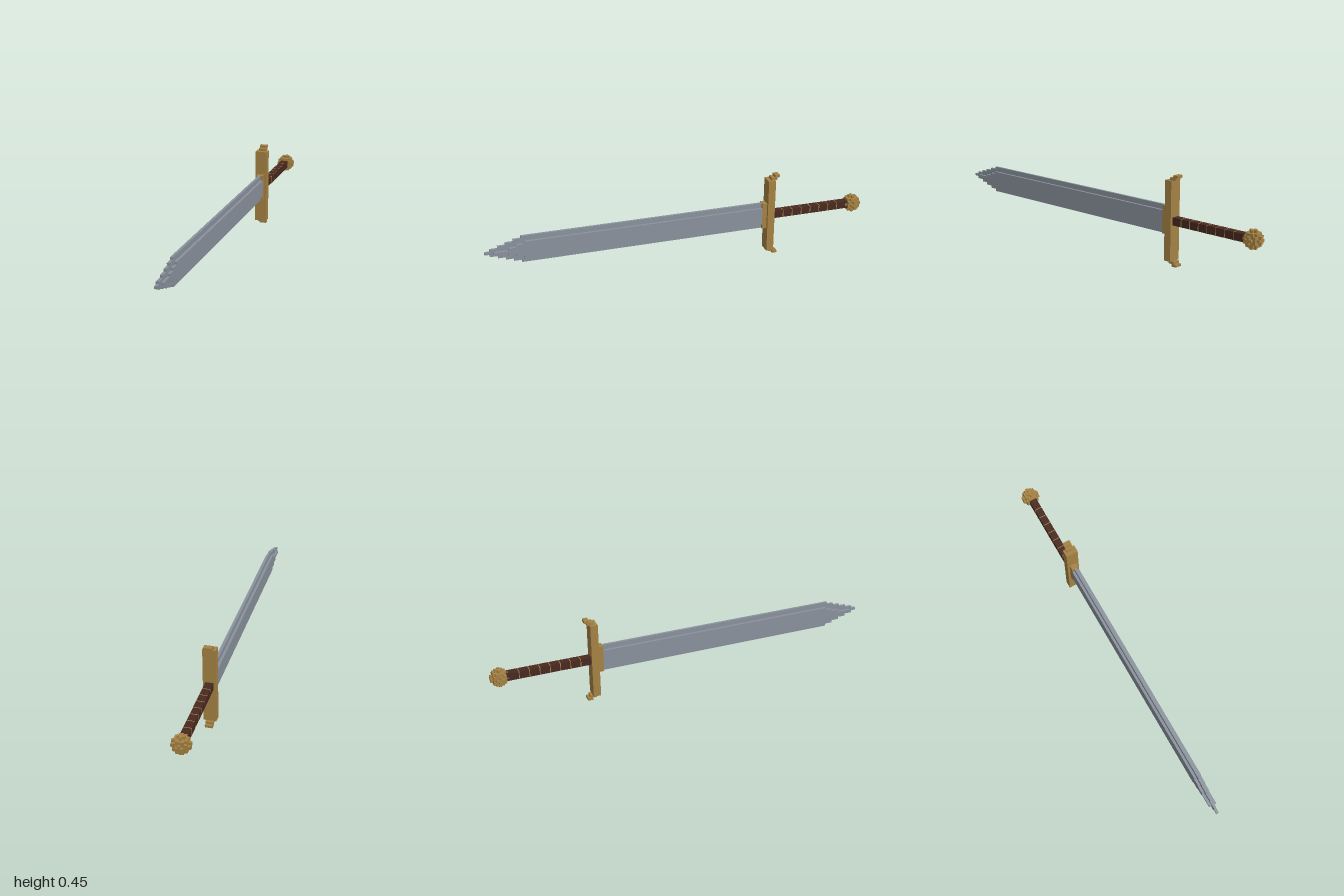
import * as THREE from 'three';

const U = 2 / 156;        // one block
const MID = 17.5 * U;     // height of the sword's axis

const mat = (name, color) => {
  const m = new THREE.MeshStandardMaterial({ color });
  m.name = name;
  return m;
};

export function createModel() {
  const steel = mat('steel', 0x8a929d);
  const gold = mat('gold', 0xa58243);
  const leather = mat('leather', 0x48291f);
  const root = new THREE.Group();
  root.name = 'sword';

  const part = (name) => {
    const g = new THREE.Group();
    g.name = name;
    root.add(g);
    return g;
  };
  // Box in block units: half width, y range about the axis, z range measured back from the tip
  const box = (parent, name, material, hx, y0, y1, t0, t1, x = 0) => {
    const mesh = new THREE.Mesh(
      new THREE.BoxGeometry(2 * hx * U, (y1 - y0) * U, (t1 - t0) * U), material);
    mesh.position.set(x * U, MID + (y0 + y1) / 2 * U, 1 - (t0 + t1) / 2 * U);
    mesh.name = name;
    parent.add(mesh);
  };

  // Blade: a thin cutting plate and a thicker core, both stepped towards the tip
  const blade = part('blade');
  const steps = (name, hx, starts) => starts.forEach((t, i) => {
    const h = i + 0.5;
    box(blade, name, steel, hx, -h, h, t, starts[i + 1] ?? 112);
  });
  steps('cuttingEdge', 0.5, [0, 2, 5, 8, 11, 14]);
  steps('bladeCore', 1.5, [3.5, 9, 12, 15]);

  // Collar and crossguard with curled ends
  const guard = part('crossguard');
  box(guard, 'collar', gold, 1.5, -5.5, 5.5, 112, 114);
  box(guard, 'guardBar', gold, 2.5, -15.5, 15.5, 114, 117);
  for (const s of [1, -1]) {
    const tip = (a, t0, t1) =>
      box(guard, 'guardTip', gold, 1.5, Math.min(s * a, s * (a + 1)), Math.max(s * a, s * (a + 1)), t0, t1);
    tip(15.5, 115.5, 118);
    tip(16.5, 117, 119);
  }

  // Grip with fine wire rings
  const grip = part('grip');
  box(grip, 'gripCore', leather, 1.5, -1.5, 1.5, 117, 150);
  for (let t = 121; t < 149; t += 4) {
    box(grip, 'wireRing', gold, 1.53, -1.53, 1.53, t, t + 0.3);
  }

  // Pommel: a ball of blocks, made of columns along z
  const pommel = part('pommel');
  for (let x = -3; x <= 3; x++) {
    for (let y = -3; y <= 3; y++) {
      const r = 10 - x * x - y * y;
      if (r < 0) continue;
      const h = Math.floor(Math.sqrt(r)) + 0.5;
      box(pommel, 'pommelColumn', gold, 0.5, y - 0.5, y + 0.5, 152.5 - h, 152.5 + h, x);
    }
  }
  return root;
}
